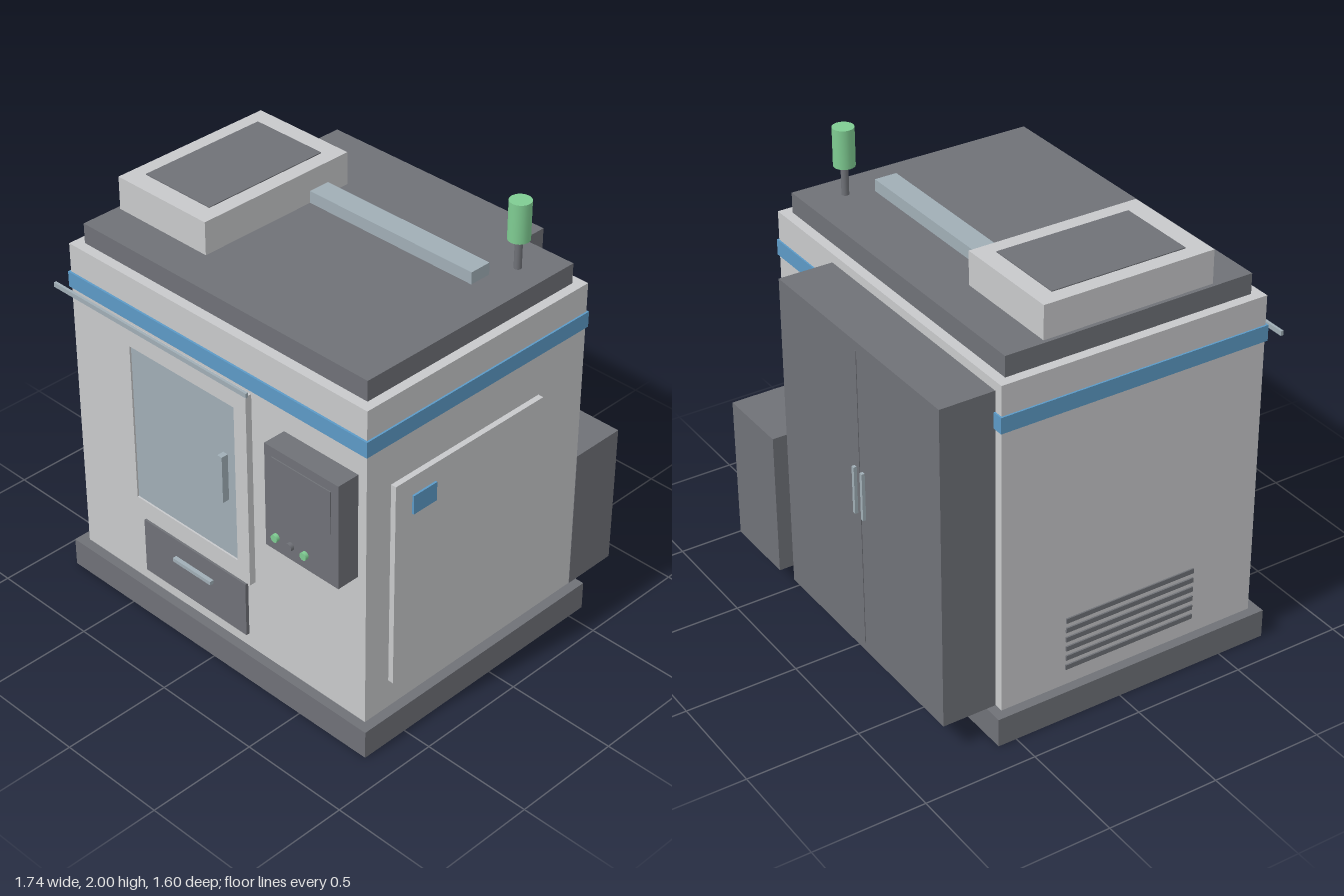
import * as THREE from 'three';

const mat = (name, color, extra = {}) => {
  const m = new THREE.MeshStandardMaterial({ color, ...extra });
  m.name = name;
  return m;
};

export function createModel() {
  const light = mat('light grey paint', 0xc8c9cb);
  const dark = mat('dark grey paint', 0x6f7177);
  const blue = mat('blue trim', 0x5c9ac6);
  const steel = mat('pale steel and glass', 0xa0aeb6);
  const green = mat('green signal', 0x7fcc92);

  const model = new THREE.Group();
  model.name = 'machiningCentre';

  const add = (name, geometry, material, x, y, z, parent = model) => {
    const mesh = new THREE.Mesh(geometry, material);
    mesh.name = name;
    mesh.position.set(x, y, z);
    parent.add(mesh);
    return mesh;
  };
  // Box given by its limits along each axis
  const box = (name, material, [x0, x1], [y0, y1], [z0, z1], parent) =>
    add(name, new THREE.BoxGeometry(x1 - x0, y1 - y0, z1 - z0), material,
      (x0 + x1) / 2, (y0 + y1) / 2, (z0 + z1) / 2, parent);
  const group = (name) => {
    const g = new THREE.Group();
    g.name = name;
    model.add(g);
    return g;
  };

  // Main housing
  box('base', dark, [-0.87, 0.867], [0, 0.13], [-0.583, 0.723]);
  box('body', light, [-0.826, 0.822], [0.13, 1.61], [-0.541, 0.679]);
  box('trimBand', blue, [-0.834, 0.83], [1.41, 1.48], [-0.548, 0.688]);
  box('roof', dark, [-0.783, 0.779], [1.61, 1.7], [-0.497, 0.634]);

  // Roof equipment
  box('roofUnit', light, [-0.766, -0.265], [1.7, 1.847], [-0.318, 0.458]);
  box('roofUnitGrille', dark, [-0.7, -0.333], [1.847, 1.851], [-0.238, 0.372]);
  box('roofDuct', steel, [-0.265, 0.604], [1.7, 1.754], [-0.208, -0.107]);
  const lamp = group('signalLamp');
  add('lampPole', new THREE.CylinderGeometry(0.016, 0.016, 0.13, 16), dark, 0.648, 1.765, -0.322, lamp);
  add('lampHead', new THREE.CylinderGeometry(0.046, 0.046, 0.17, 24), green, 0.648, 1.915, -0.322, lamp);

  // Sliding door: frame with a recessed window
  const door = group('slidingDoor');
  const rect = (P, x0, x1, y0, y1) => {
    const p = new P();
    p.moveTo(x0, y0).lineTo(x1, y0).lineTo(x1, y1).lineTo(x0, y1).closePath();
    return p;
  };
  const frame = rect(THREE.Shape, -0.498, 0.233, 0.506, 1.409);
  frame.holes.push(rect(THREE.Path, -0.43, 0.165, 0.594, 1.329));
  add('doorFrame', new THREE.ExtrudeGeometry(frame, { depth: 0.03, bevelEnabled: false }),
    light, 0, 0, 0.698, door);
  box('doorWindow', steel, [-0.43, 0.165], [0.594, 1.329], [0.7, 0.72], door);
  box('doorHandle', steel, [0.1, 0.125], [0.873, 1.09], [0.728, 0.76], door);
  box('doorRail', steel, [-0.854, 0.257], [1.425, 1.446], [0.736, 0.748]);

  // Chip drawer
  box('drawer', dark, [-0.435, 0.169], [0.194, 0.455], [0.679, 0.695]);
  box('drawerHandle', steel, [-0.244, -0.02], [0.354, 0.371], [0.695, 0.714]);

  // Control panel
  const panel = group('controlPanel');
  box('panelBox', dark, [0.389, 0.779], [0.83, 1.307], [0.679, 0.783], panel);
  box('panelScreen', dark, [0.43, 0.742], [1.07, 1.265], [0.783, 0.788], panel);
  [green, dark, green].forEach((material, i) => {
    const button = add('panelButton', new THREE.CylinderGeometry(0.017, 0.017, 0.016, 16),
      material, 0.449 + i * 0.078, 0.896, 0.791, panel);
    button.rotation.x = Math.PI / 2;
  });

  // Service hatch on the left side
  box('sideHatch', light, [0.822, 0.847], [0.265, 1.217], [-0.276, 0.55]);
  box('hatchPlate', blue, [0.847, 0.856], [1.047, 1.133], [0.333, 0.46]);

  // Vent slats on the right side
  for (let i = 0; i < 6; i++) {
    const y = 0.216 + i * 0.045;
    box('ventSlat', dark, [-0.833, -0.826], [y - 0.011, y + 0.011], [-0.24, 0.38]);
  }

  // Electrical cabinet at the back, with two doors
  const cabinet = group('rearCabinet');
  box('cabinetBox', dark, [-0.785, 0.386], [0.13, 1.57], [-0.783, -0.541], cabinet);
  for (const side of [-1, 1]) {
    const x = -0.2 + side * 0.03;
    box('cabinetHandle', steel, [x - 0.008, x + 0.008], [0.785, 1.0], [-0.797, -0.783], cabinet);
  }
  box('cabinetSeam', dark, [-0.203, -0.197], [0.17, 1.53], [-0.786, -0.783], cabinet);

  // Coolant unit at the back
  box('coolantUnit', dark, [0.478, 0.824], [0.13, 0.784], [-0.8, -0.541]);

  return model;
}
